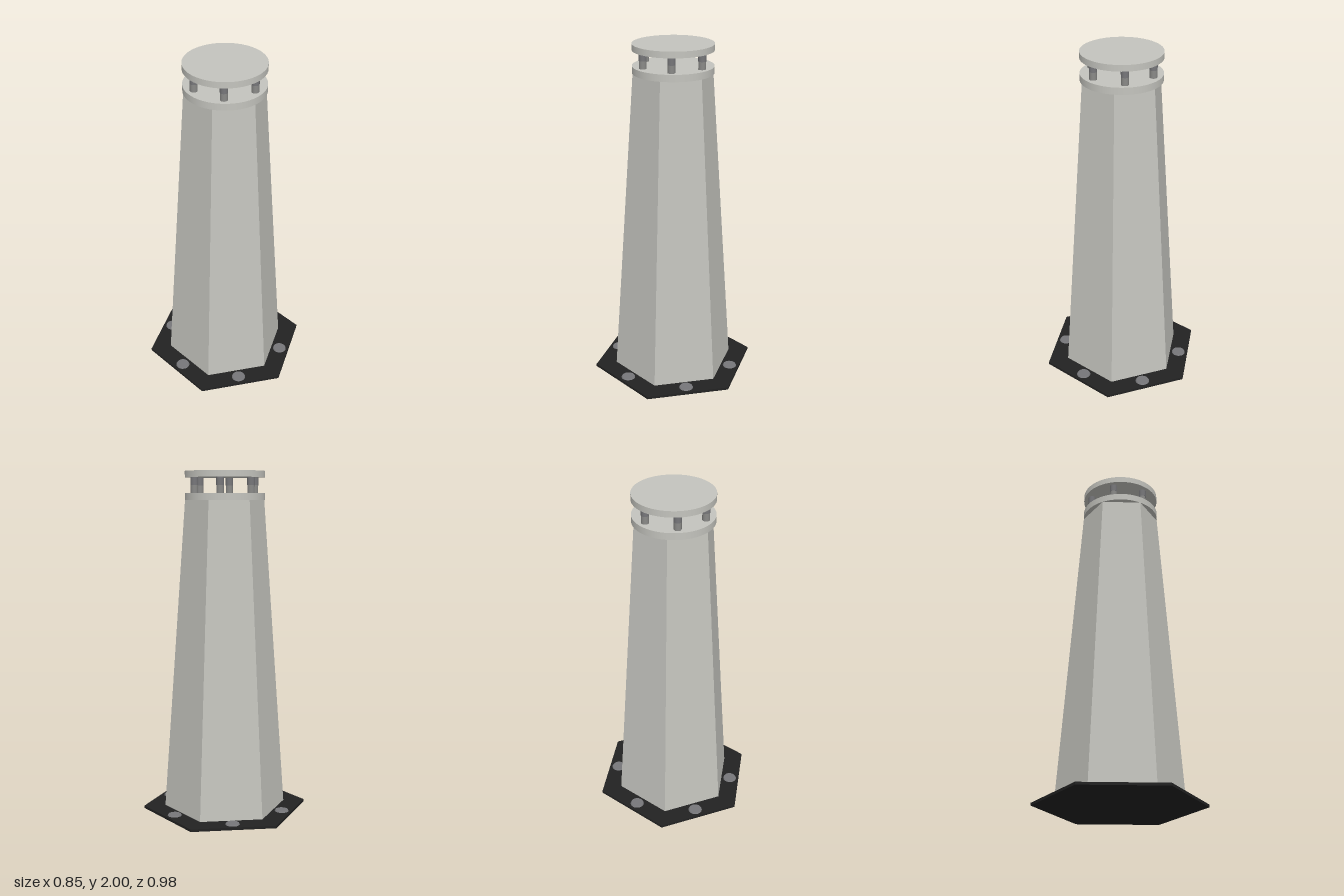
import * as THREE from 'three';

const paint = (name, color) => Object.assign(new THREE.MeshStandardMaterial({ color }), { name });

export function createModel() {
  const group = new THREE.Group();
  group.name = 'taperedBollard';
  const shell = paint('light grey shell', 0xc4c4be);
  const black = paint('black base', 0x222222);
  const steel = paint('bolt steel', 0x77777a);
  const rodGrey = paint('rod grey', 0x8a8a88);

  // Upright cylinder between two heights; six-sided ones are faceted
  function column(name, rBottom, rTop, y0, y1, sides, material, x = 0, z = 0) {
    let geometry = new THREE.CylinderGeometry(rTop, rBottom, y1 - y0, sides);
    if (sides === 6) {
      geometry = geometry.toNonIndexed();
      geometry.computeVertexNormals();
    }
    const mesh = new THREE.Mesh(geometry, material);
    mesh.name = name;
    mesh.position.set(x, (y0 + y1) / 2, z);
    group.add(mesh);
  }

  // Hexagonal foot and tapering body
  column('basePlate', 0.488, 0.488, 0, 0.015, 6, black);
  column('towerBody', 0.362, 0.23, 0.015, 1.836, 6, shell);

  // Two round discs of the head
  column('lowerDisc', 0.23, 0.23, 1.836, 1.876, 64, shell);
  column('capDisc', 0.23, 0.23, 1.964, 2, 64, shell);

  for (let i = 0; i < 6; i++) {
    // Anchor bolt heads in the middle of each base side
    const a = Math.PI / 6 + (i * Math.PI) / 3;
    column('anchorBolt', 0.042, 0.037, 0.014, 0.022, 32, steel,
      0.367 * Math.sin(a), 0.367 * Math.cos(a));

    // Spacer sleeves with threaded rods holding up the cap
    const b = Math.PI / 12 + (i * Math.PI) / 3;
    const x = 0.187 * Math.sin(b), z = 0.187 * Math.cos(b);
    column('spacerSleeve', 0.021, 0.021, 1.875, 1.92, 20, rodGrey, x, z);
    column('spacerRod', 0.022, 0.022, 1.92, 1.965, 20, steel, x, z);
  }
  return group;
}
